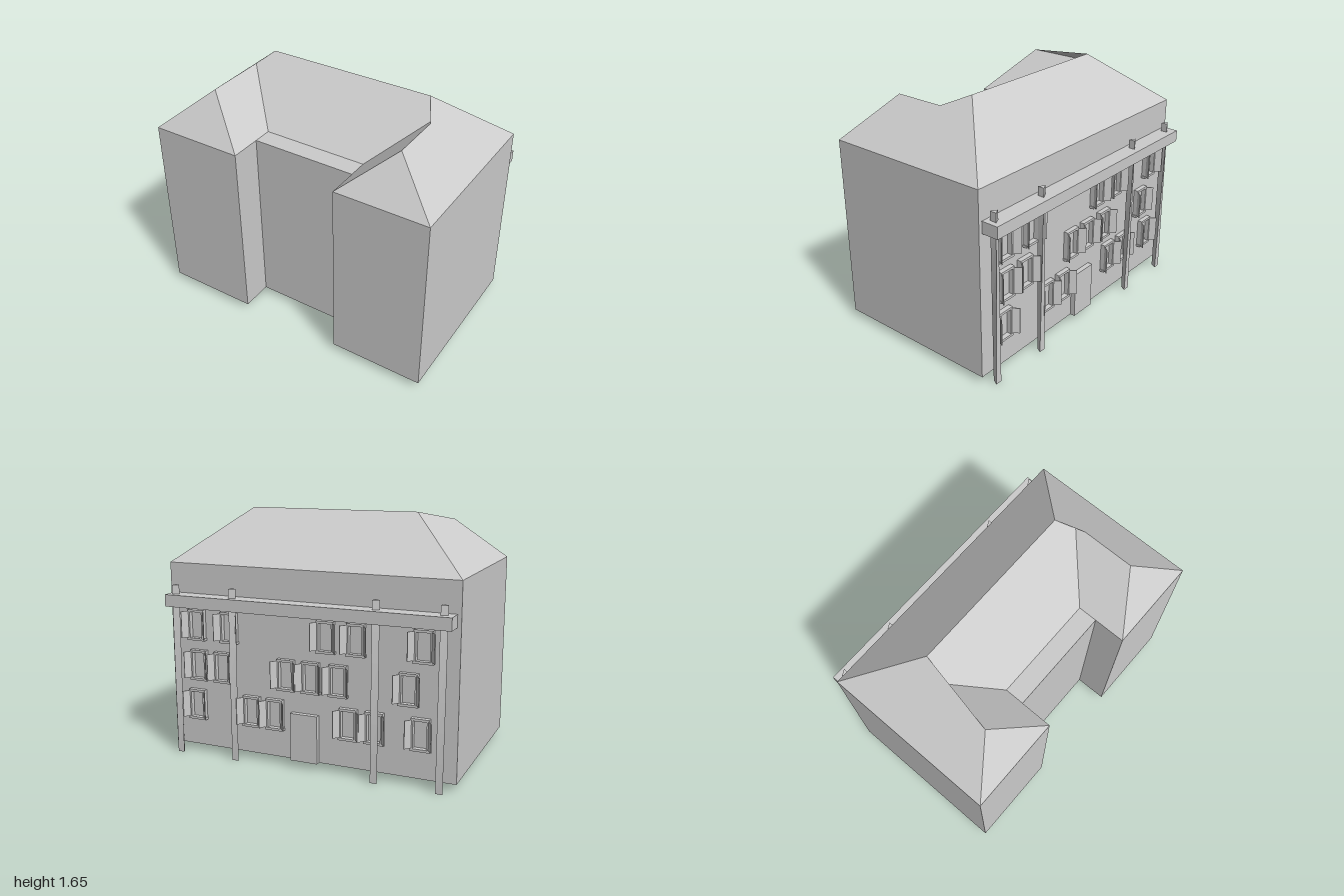
import * as THREE from 'three';

const mat = new THREE.MeshStandardMaterial({ color: 0xcccccc, flatShading: true, side: THREE.DoubleSide });

function add(parent, name, geo, x = 0, y = 0, z = 0) {
  const mesh = new THREE.Mesh(geo, mat);
  mesh.name = name;
  mesh.position.set(x, y, z);
  parent.add(mesh);
  return mesh;
}

// Flat surfaces from convex corner loops, counter-clockwise from outside
function faces(loops) {
  const pos = [];
  for (const p of loops)
    for (let i = 1; i < p.length - 1; i++) pos.push(...p[0], ...p[i], ...p[i + 1]);
  const geo = new THREE.BufferGeometry();
  geo.setAttribute('position', new THREE.Float32BufferAttribute(pos, 3));
  geo.computeVertexNormals();
  return geo;
}

const mirrorX = loop => loop.map(([x, y, z]) => [-x, y, z]).reverse();

const FLOOR = 0.05, EAVE = 1.3, BACK = -0.53, FRONT = 0.645;

// Window: frame, sill and two shutters standing open, facing -z
function createWindow(x, y) {
  const g = new THREE.Group();
  g.name = 'window';
  const w = 0.12, h = 0.2, t = 0.016, d = 0.032;
  for (const s of [-1, 1]) {
    add(g, 'frameSide', new THREE.BoxGeometry(t, h, d), s * (w - t) / 2, 0, -d / 2);
    const hinge = new THREE.Group();
    hinge.name = 'shutterHinge';
    hinge.position.set(s * (w / 2 - 0.004), 0, -0.03);
    hinge.rotation.y = s * 0.93;
    add(hinge, 'shutter', new THREE.BoxGeometry(0.05, 0.18, 0.006), s * 0.025);
    g.add(hinge);
  }
  add(g, 'frameTop', new THREE.BoxGeometry(w, t, d), 0, (h - t) / 2, -d / 2);
  add(g, 'sill', new THREE.BoxGeometry(w + 0.01, t, d + 0.004), 0, -h / 2, -d / 2);
  g.position.set(x, y, BACK);
  return g;
}

// Three-sided post with a slight twist along its length
function postGeometry() {
  const h = 1.16, geo = new THREE.CylinderGeometry(0.027, 0.027, h, 3, 6);
  const p = geo.attributes.position;
  const v = new THREE.Vector3(), up = new THREE.Vector3(0, 1, 0);
  for (let i = 0; i < p.count; i++) {
    v.fromBufferAttribute(p, i);
    v.applyAxisAngle(up, (v.y / h + 0.5) * 0.5);
    p.setXYZ(i, v.x, v.y, v.z);
  }
  geo.computeVertexNormals();
  return geo;
}

export function createModel() {
  const model = new THREE.Group();
  model.name = 'house';

  // U-shaped walls, open underneath
  const plan = [[-1, FRONT], [-0.36, FRONT], [-0.36, 0.43], [0.36, 0.43],
    [0.36, FRONT], [1, FRONT], [1, BACK], [-1, BACK]];
  add(model, 'walls', faces(plan.map(([x, z], i) => {
    const [x2, z2] = plan[(i + 1) % plan.length];
    return [[x, FLOOR, z], [x2, FLOOR, z2], [x2, EAVE, z2], [x, EAVE, z]];
  })));

  // Hipped roof: main ridge plus a lower ridge over each wing
  const ridge = [0.585, 1.65, -0.115], wingBack = [0.68, 1.57, -0.02], wingFront = [0.68, 1.57, 0.415];
  const valley = [0.36, EAVE, 0.3], backCorner = [1, EAVE, BACK];
  const frontCorner = [1, EAVE, FRONT], innerCorner = [0.36, EAVE, FRONT];
  const flip = ([x, y, z]) => [-x, y, z];
  const half = [
    [frontCorner, backCorner, ridge, wingBack, wingFront],
    [innerCorner, frontCorner, wingFront],
    [valley, innerCorner, wingFront, wingBack],
  ];
  add(model, 'roof', faces([
    ...half, ...half.map(mirrorX),
    [backCorner, flip(backCorner), flip(ridge), ridge],
    [flip(valley), valley, wingBack, ridge, flip(ridge), flip(wingBack)],
  ]));
  add(model, 'courtyardLedge', faces([
    [[-0.36, EAVE, 0.43], [0.36, EAVE, 0.43], valley, flip(valley)],
  ]));

  // Rear beam carried by four posts
  add(model, 'beam', new THREE.BoxGeometry(1.95, 0.08, 0.115), 0, 1.06, -0.5875);
  const post = postGeometry();
  for (const x of [-0.91, -0.487, 0.5, 0.927]) add(model, 'post', post, x, 0.58, -0.585);

  // Rear door, set deep into the wall
  add(model, 'door', new THREE.BoxGeometry(0.19, 0.32, 0.23), 0.01, 0.21, -0.449);

  // Rear windows, by storey
  const storeys = [
    [0.345, [0.81, 0.395, 0.225, -0.295, -0.47, -0.77]],
    [0.62, [0.79, 0.61, 0.14, -0.035, -0.225, -0.69]],
    [0.895, [0.8, 0.555, -0.14, -0.345, -0.78]],
  ];
  for (const [y, xs] of storeys) for (const x of xs) model.add(createWindow(x, y));

  return model;
}
